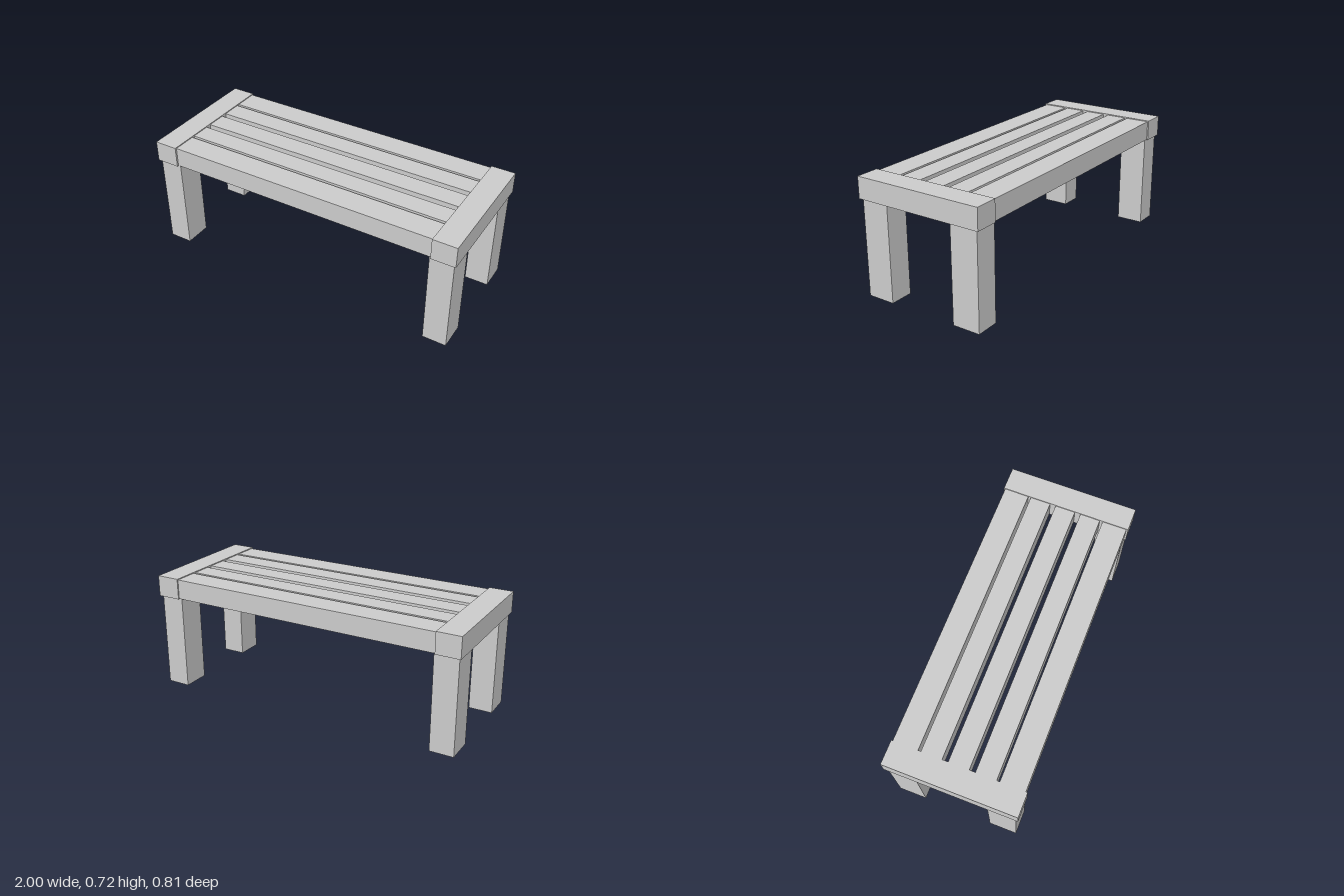
import * as THREE from 'three';

const material = new THREE.MeshStandardMaterial({ color: 0xcccccc, flatShading: true });

// Box given by its extents along each axis
function block(name, [x0, x1], [y0, y1], [z0, z1]) {
  const mesh = new THREE.Mesh(new THREE.BoxGeometry(x1 - x0, y1 - y0, z1 - z0), material);
  mesh.name = name;
  mesh.position.set((x0 + x1) / 2, (y0 + y1) / 2, (z0 + z1) / 2);
  return mesh;
}

export function createModel() {
  const bench = new THREE.Group();
  bench.name = 'slattedBench';

  // Wide cross beams capping both ends
  const beamY = [0.588, 0.718];
  bench.add(block('rightEndBeam', [-1, -0.853], beamY, [-0.403, 0.403]));
  bench.add(block('leftEndBeam', [0.853, 1], beamY, [-0.403, 0.403]));

  // Four legs, slightly inset under the beams
  for (const [side, x] of [['right', [-0.988, -0.842]], ['left', [0.84, 0.986]]]) {
    bench.add(block(side + 'FrontLeg', x, [0, 0.588], [0.215, 0.387]));
    bench.add(block(side + 'BackLeg', x, [0, 0.588], [-0.387, -0.215]));
  }

  // Long seat boards: broad outer rails and three narrower slats
  const boards = [
    ['backRail', [-0.395, -0.243]],
    ['backSlat', [-0.226, -0.1]],
    ['middleSlat', [-0.064, 0.061]],
    ['frontSlat', [0.097, 0.222]],
    ['frontRail', [0.24, 0.392]],
  ];
  for (const [name, z] of boards) {
    bench.add(block(name, [-0.853, 0.853], [0.59, 0.712], z));
  }

  return bench;
}
